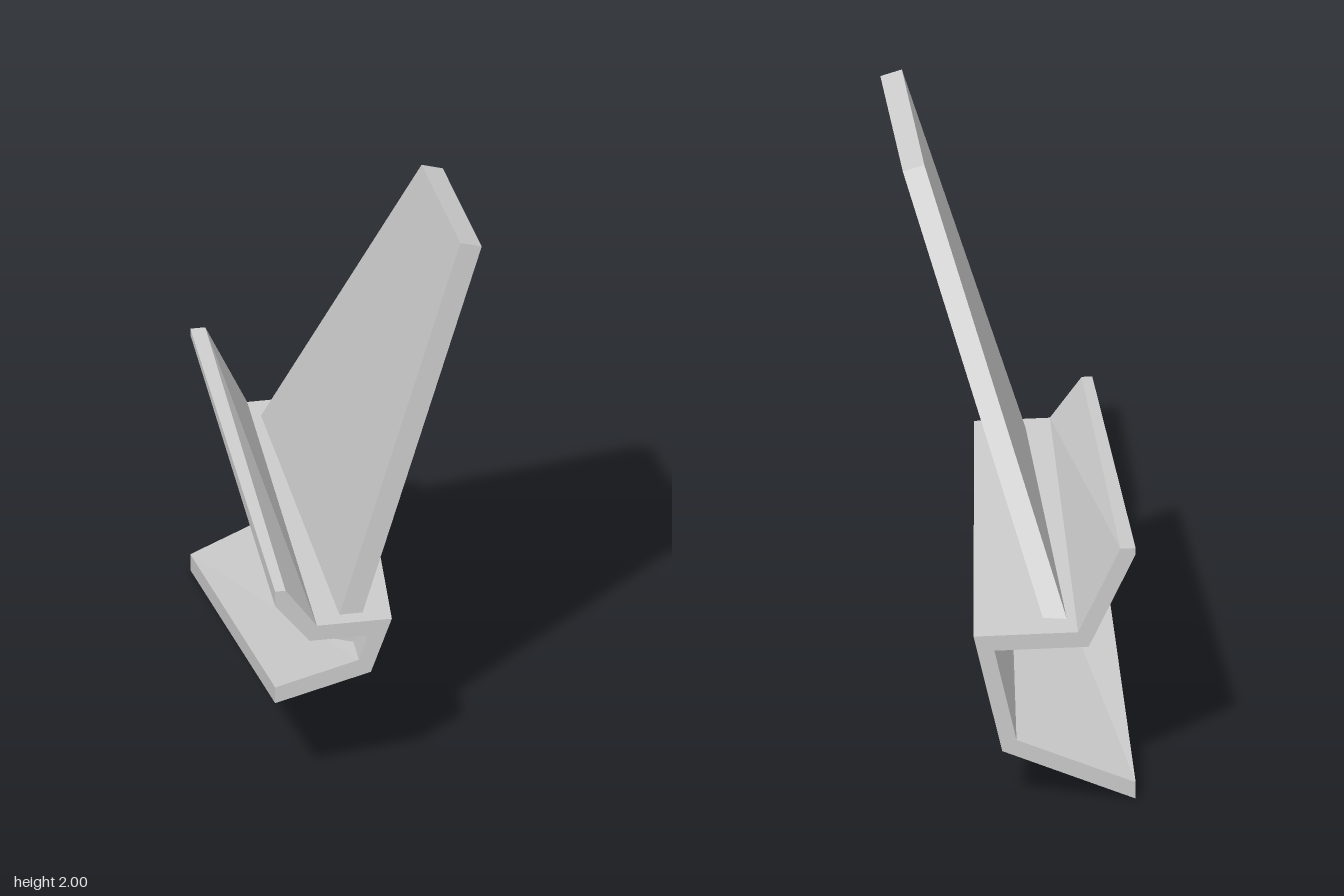
import * as THREE from 'three';

// Solid between two matching loops; loop a is counter-clockwise when flattened.
function loft(a, b, flatten) {
  const n = a.length;
  const pos = [];
  const tri = (...pts) => pts.forEach((p) => pos.push(...p));
  for (let i = 0; i < n; i++) {
    const j = (i + 1) % n;
    tri(a[i], b[i], b[j]);
    tri(a[i], b[j], a[j]);
  }
  const cap = (loop, flip) => {
    const flat = loop.map((p) => new THREE.Vector2(...flatten(p)));
    for (const [i, j, k] of THREE.ShapeUtils.triangulateShape(flat, [])) {
      if (flip) tri(loop[i], loop[k], loop[j]);
      else tri(loop[i], loop[j], loop[k]);
    }
  };
  cap(a, false);
  cap(b, true);
  const geometry = new THREE.BufferGeometry();
  geometry.setAttribute('position', new THREE.Float32BufferAttribute(pos, 3));
  geometry.computeVertexNormals();
  return geometry;
}

export function createModel() {
  const group = new THREE.Group();
  const grey = new THREE.MeshStandardMaterial({ color: 0xcccccc });
  grey.name = 'light grey';

  // Bent channel: outer outline from bottom plate up to lip, then back along the inside
  const frontSection = [
    [-0.355, 0.37], [-0.035, 0.455], [0.035, 0.65], [-0.215, 0.65], [-0.32, 0.795], [-0.355, 0.795],
    [-0.355, 0.74], [-0.24, 0.595], [-0.045, 0.595], [-0.075, 0.505], [-0.355, 0.43],
  ].map(([x, y]) => [x, y, 0.757]);
  const backSection = [
    [-0.355, 0], [0.085, 0.195], [0.18, 0.62], [-0.165, 0.62], [-0.305, 0.92], [-0.355, 0.92],
    [-0.355, 0.897], [-0.2, 0.565], [0.111, 0.565], [0.038, 0.234], [-0.355, 0.06],
  ].map(([x, y]) => [x, y, -0.757]);
  const channel = new THREE.Mesh(loft(frontSection, backSection, ([x, y]) => [x, y]), grey);
  channel.name = 'channel';

  // Tilted tapering fin standing through the shelf of the channel
  const finInner = [
    [-0.155, 0.563, 0.7], [-0.155, 0.563, -0.69], [0.265, 1.95, 0.058], [0.282, 2, 0.662],
  ];
  const finOuter = finInner.map(([x, y, z]) => [x + 0.071, y - 0.021, z]);
  const fin = new THREE.Mesh(loft(finOuter, finInner, ([, y, z]) => [-z, y]), grey);
  fin.name = 'fin';

  group.add(channel, fin);
  return group;
}
